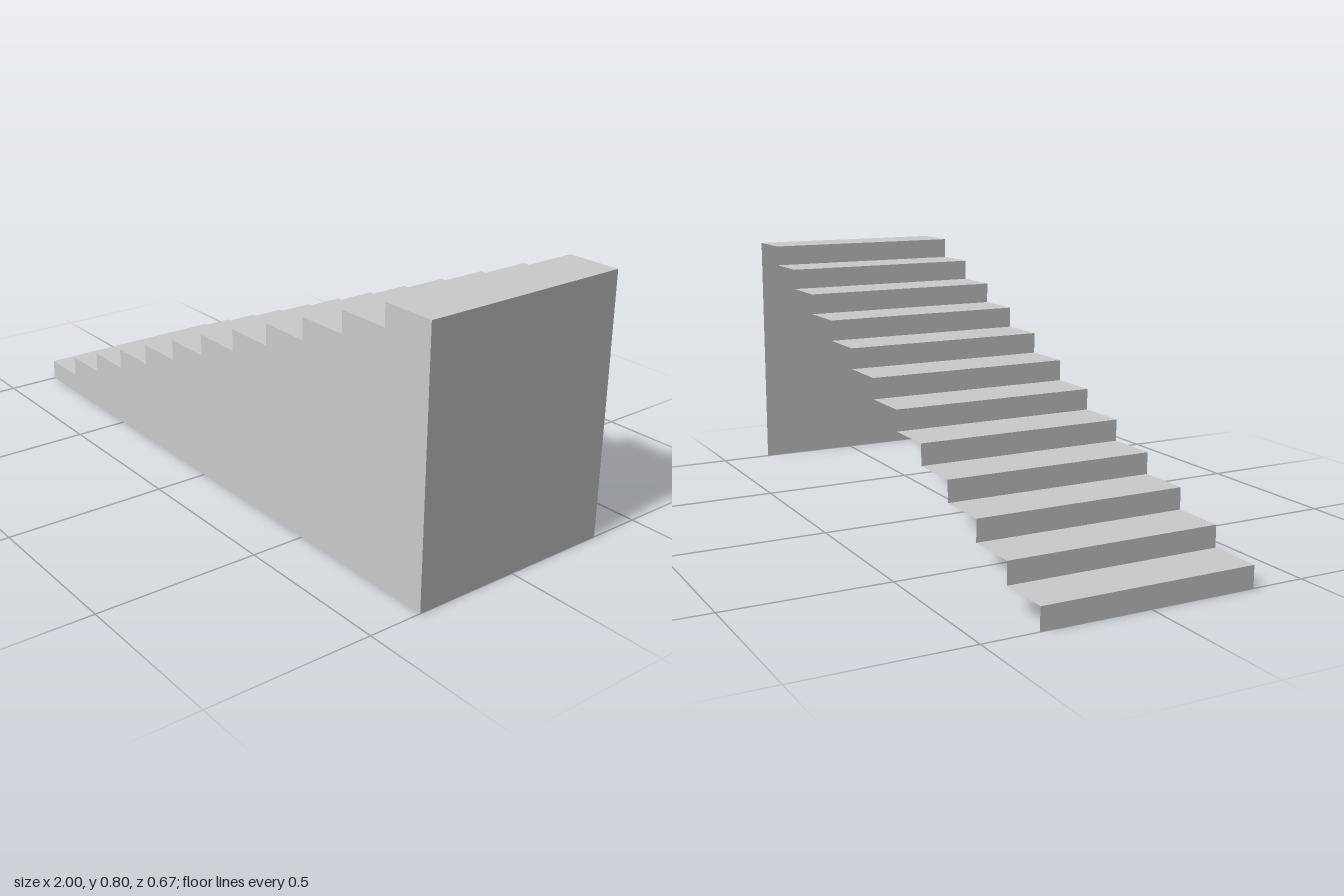
import * as THREE from 'three';

const STEPS = 12, LENGTH = 2, HEIGHT = 0.8, WIDTH = 2 / 3;
const RUN = LENGTH / STEPS, RISE = HEIGHT / STEPS;

export function createModel() {
  const group = new THREE.Group();
  group.name = 'staircase';
  const material = new THREE.MeshStandardMaterial({
    color: 0xcccccc, side: THREE.DoubleSide, flatShading: true,
  });

  const add = (name, geometry, x, y, z) => {
    const mesh = new THREE.Mesh(geometry, material);
    mesh.name = name;
    mesh.position.set(x, y, z);
    group.add(mesh);
  };

  // thin risers and treads, climbing towards +x
  const riser = new THREE.PlaneGeometry(WIDTH, RISE).rotateY(-Math.PI / 2);
  const tread = new THREE.PlaneGeometry(RUN, WIDTH).rotateX(-Math.PI / 2);
  for (let i = 0; i < STEPS; i++) {
    const x = -LENGTH / 2 + i * RUN;
    add(`riser${i + 1}`, riser, x, (i + 0.5) * RISE, 0);
    add(`tread${i + 1}`, tread, x + RUN / 2, (i + 1) * RISE, 0);
  }

  // tall end wall
  const end = new THREE.PlaneGeometry(WIDTH, HEIGHT).rotateY(Math.PI / 2);
  add('endWall', end, LENGTH / 2, HEIGHT / 2, 0);

  // stepped front wall; the back and underside stay open
  const profile = new THREE.Shape();
  profile.moveTo(-LENGTH / 2, 0);
  profile.lineTo(LENGTH / 2, 0);
  for (let i = STEPS; i > 0; i--) {
    const x = -LENGTH / 2 + i * RUN;
    profile.lineTo(x, i * RISE);
    profile.lineTo(x - RUN, i * RISE);
  }
  profile.closePath();
  add('frontWall', new THREE.ShapeGeometry(profile), 0, 0, WIDTH / 2);

  return group;
}
